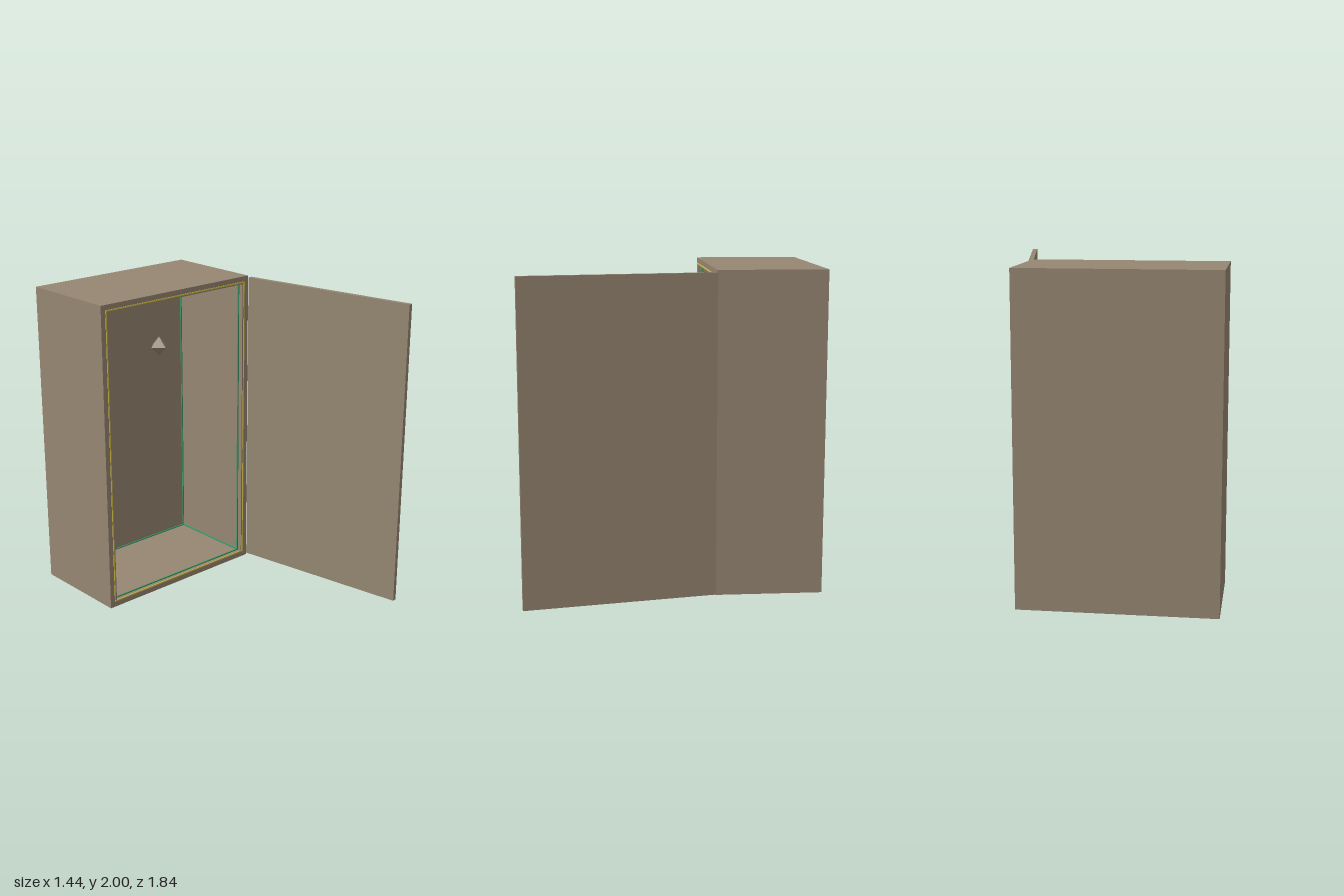
import * as THREE from 'three';

const CX = -0.12;                       // cabinet centre in x
const BACK = -0.923, FRONT = -0.257;    // cabinet depth range
const WALL = 0.05;
const IN = { x0: CX - 0.55, x1: CX + 0.55, y0: 0.04, y1: 1.95, z0: BACK + WALL, z1: FRONT - 0.03 };

// Rectangular ring extruded along +z
function ring(o, i, depth) {
  const shape = new THREE.Shape([
    new THREE.Vector2(o[0], o[1]), new THREE.Vector2(o[2], o[1]),
    new THREE.Vector2(o[2], o[3]), new THREE.Vector2(o[0], o[3])]);
  shape.holes.push(new THREE.Path([
    new THREE.Vector2(i[0], i[1]), new THREE.Vector2(i[0], i[3]),
    new THREE.Vector2(i[2], i[3]), new THREE.Vector2(i[2], i[1])]));
  return new THREE.ExtrudeGeometry(shape, { depth, bevelEnabled: false });
}

export function createModel() {
  const mat = (name, color) => new THREE.MeshStandardMaterial({ name, color });
  const taupe = mat('taupe', 0x968772);
  const yellow = mat('yellow', 0xd8c040);
  const green = mat('green', 0x3a9a68);

  const model = new THREE.Group();
  model.name = 'openCabinet';
  const add = (parent, name, geometry, material, x, y, z) => {
    const mesh = new THREE.Mesh(geometry, material);
    mesh.name = name;
    mesh.position.set(x, y, z);
    parent.add(mesh);
    return mesh;
  };

  // Hollow cabinet: four walls and a back panel
  const walls = ring([CX - 0.6, 0, CX + 0.6, 2], [IN.x0, IN.y0, IN.x1, IN.y1], FRONT - IN.z0);
  add(model, 'cabinetWalls', walls, taupe, 0, 0, IN.z0);
  add(model, 'backPanel', new THREE.BoxGeometry(1.2, 2, WALL), taupe, CX, 1, BACK + WALL / 2);

  // Thin outline around the opening
  const outline = ring([CX - 0.567, 0.037, CX + 0.567, 1.967], [CX - 0.559, 0.045, CX + 0.559, 1.959], 0.005);
  add(model, 'openingOutline', outline, yellow, 0, 0, FRONT - 0.001);

  // Thin strips along all twelve edges of the interior
  const strips = new THREE.Group();
  strips.name = 'interiorStrips';
  model.add(strips);
  const T = 0.008, h = T / 2;
  const w = IN.x1 - IN.x0, t = IN.y1 - IN.y0, d = IN.z1 - IN.z0;
  const mx = (IN.x0 + IN.x1) / 2, my = (IN.y0 + IN.y1) / 2, mz = (IN.z0 + IN.z1) / 2;
  for (const a of [-1, 1]) for (const b of [-1, 1]) {
    add(strips, 'widthStrip', new THREE.BoxGeometry(w, T, T), green,
      mx, my + a * (t / 2 - h), mz + b * (d / 2 - h));
    add(strips, 'uprightStrip', new THREE.BoxGeometry(T, t, T), green,
      mx + a * (w / 2 - h), my, mz + b * (d / 2 - h));
    add(strips, 'depthStrip', new THREE.BoxGeometry(T, T, d), green,
      mx + a * (w / 2 - h), my + b * (t / 2 - h), mz);
  }

  // Floating faceted gem inside
  add(model, 'gem', new THREE.OctahedronGeometry(0.063), taupe, CX, 1.6, -0.45);

  // Door swung open past a right angle
  const door = add(model, 'door', new THREE.BoxGeometry(0.03, 1.975, 1.19), taupe, 0.598, 1, 0.33);
  door.rotation.y = THREE.MathUtils.degToRad(10);

  return model;
}
